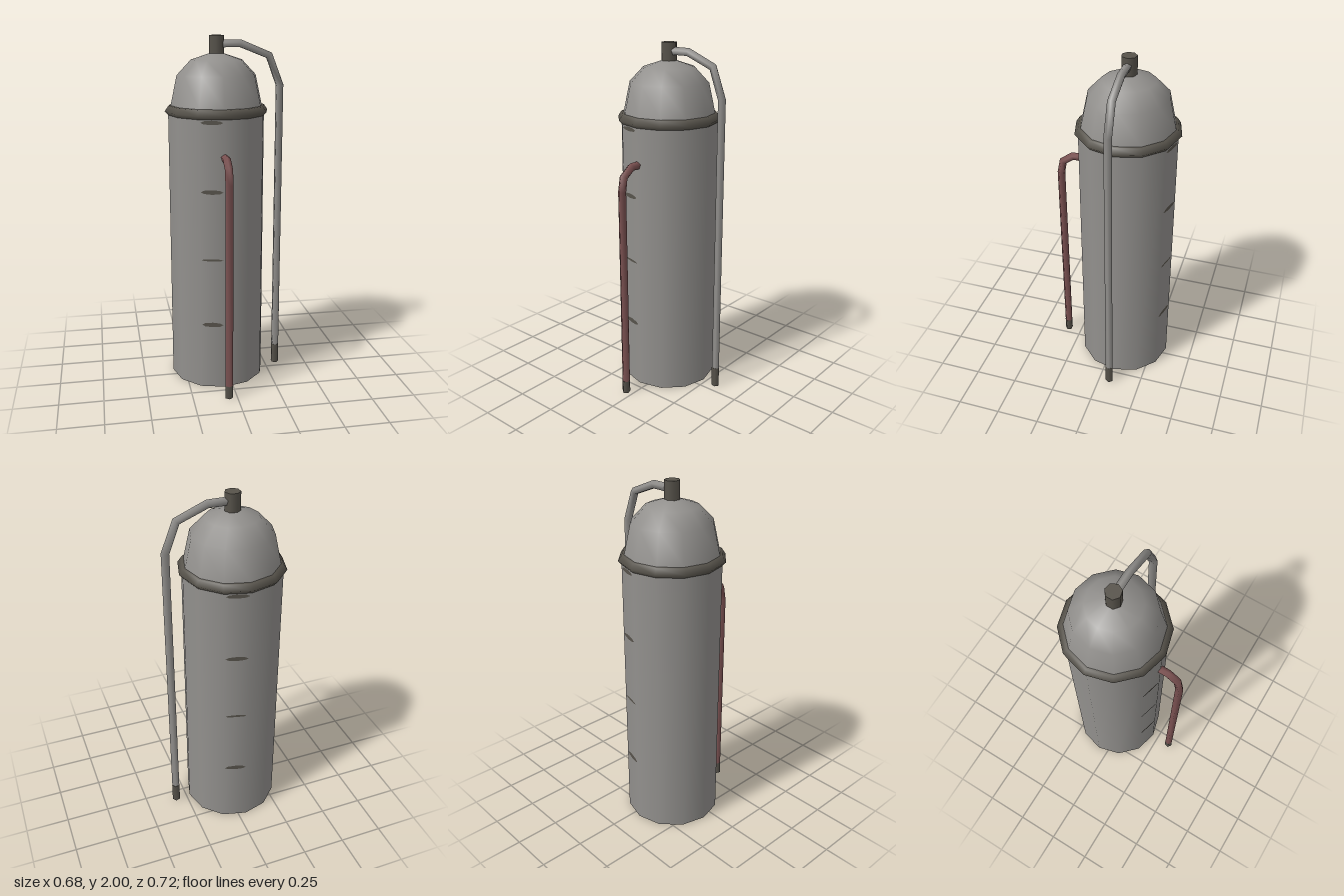
import * as THREE from 'three';

const CX = -0.047, CZ = -0.063; // tank axis
const SIDES = 12;

const mat = (name, color, side = THREE.FrontSide) => {
  const m = new THREE.MeshStandardMaterial({ color, side });
  m.name = name;
  return m;
};

function mesh(name, geometry, material) {
  const m = new THREE.Mesh(geometry, material);
  m.name = name;
  return m;
}

const lathe = (points) =>
  new THREE.LatheGeometry(points.map(([r, y]) => new THREE.Vector2(r, y)), SIDES);

// Five-sided pipe along a path in the xy plane, one corner always on the outside of the bend
function pipeGeometry(path, radius) {
  const n = 5, pts = path.map(([x, y]) => new THREE.Vector2(x, y));
  const pos = [], index = [];
  pts.forEach((p, i) => {
    const before = p.clone().sub(pts[Math.max(i - 1, 0)]).normalize();
    const after = pts[Math.min(i + 1, pts.length - 1)].clone().sub(p).normalize();
    const t = before.add(after).normalize();
    for (let k = 0; k < n; k++) {
      const a = (k / n) * Math.PI * 2, out = radius * Math.cos(a);
      pos.push(p.x - t.y * out, p.y + t.x * out, radius * Math.sin(a));
      if (i < pts.length - 1) {
        const a0 = i * n + k, a1 = i * n + (k + 1) % n;
        index.push(a0, a1, a0 + n, a1, a1 + n, a0 + n);
      }
    }
  });
  const g = new THREE.BufferGeometry();
  g.setAttribute('position', new THREE.Float32BufferAttribute(pos, 3));
  g.setIndex(index);
  g.computeVertexNormals();
  return g;
}

export function createModel() {
  const steel = mat('grey steel', 0x92908d, THREE.DoubleSide);
  const dark = mat('dark metal', 0x57534b);
  const red = mat('dull red', 0x7c5252, THREE.DoubleSide);

  const model = new THREE.Group();
  model.name = 'storageTank';
  const tank = new THREE.Group();
  tank.name = 'tank';
  tank.position.set(CX, 0, CZ);
  model.add(tank);

  // Tank body, dome and rim
  const body = mesh('body', new THREE.CylinderGeometry(0.275, 0.275, 1.59, SIDES), steel);
  body.position.y = 0.795;
  const dome = mesh('dome', lathe([
    [0.272, 1.58], [0.26, 1.62], [0.224, 1.784], [0.145, 1.867], [0.045, 1.9], [0, 1.903],
  ]), steel);
  const rim = mesh('rim', lathe([
    [0.255, 1.56], [0.273, 1.563], [0.294, 1.586], [0.274, 1.616], [0.255, 1.619],
  ]), dark);

  // Outlet on top of the dome
  const outlet = mesh('topOutlet', new THREE.CylinderGeometry(0.043, 0.043, 0.13, 7), dark);
  outlet.position.y = 1.935;
  outlet.rotation.y = Math.PI / 2;
  tank.add(body, dome, rim, outlet);

  // Slivers of inner bands showing on two opposite wall facets
  const apothem = 0.275 * Math.cos(Math.PI / SIDES) + 0.002;
  for (const angle of [-Math.PI / 12, Math.PI * 11 / 12]) {
    for (const [y, h] of [[0.39, 0.014], [0.78, 0.007], [1.17, 0.013], [1.55, 0.012]]) {
      const sliver = mesh('bandSliver', new THREE.CircleGeometry(1, 8), dark);
      sliver.scale.set(0.062, h, 1);
      sliver.position.set(apothem * Math.sin(angle), y, apothem * Math.cos(angle));
      sliver.rotation.y = angle;
      tank.add(sliver);
    }
  }

  // Pipes with dark feet; each path starts at the tank and ends on the ground
  function addPipe(name, path, material, footHeight, turn) {
    const group = new THREE.Group();
    group.name = name;
    group.add(mesh(name + 'Tube', pipeGeometry(path, 0.023), material));
    const foot = mesh(name + 'Foot', new THREE.CylinderGeometry(0.0238, 0.0238, footHeight, 5), dark);
    foot.position.set(path[path.length - 1][0], footHeight / 2, 0);
    foot.rotation.y = Math.PI / 2;
    group.add(foot);
    group.rotation.y = turn;
    tank.add(group);
  }
  addPipe('overflowPipe', [
    [0.02, 1.952], [0.137, 1.952], [0.301, 1.886], [0.364, 1.721], [0.364, 0],
  ], steel, 0.12, 0);
  addPipe('drainPipe', [
    [0.25, 1.36], [0.321, 1.36], [0.383, 1.316], [0.398, 1.236], [0.398, 0],
  ], red, 0.075, -Math.PI / 2);

  return model;
}
